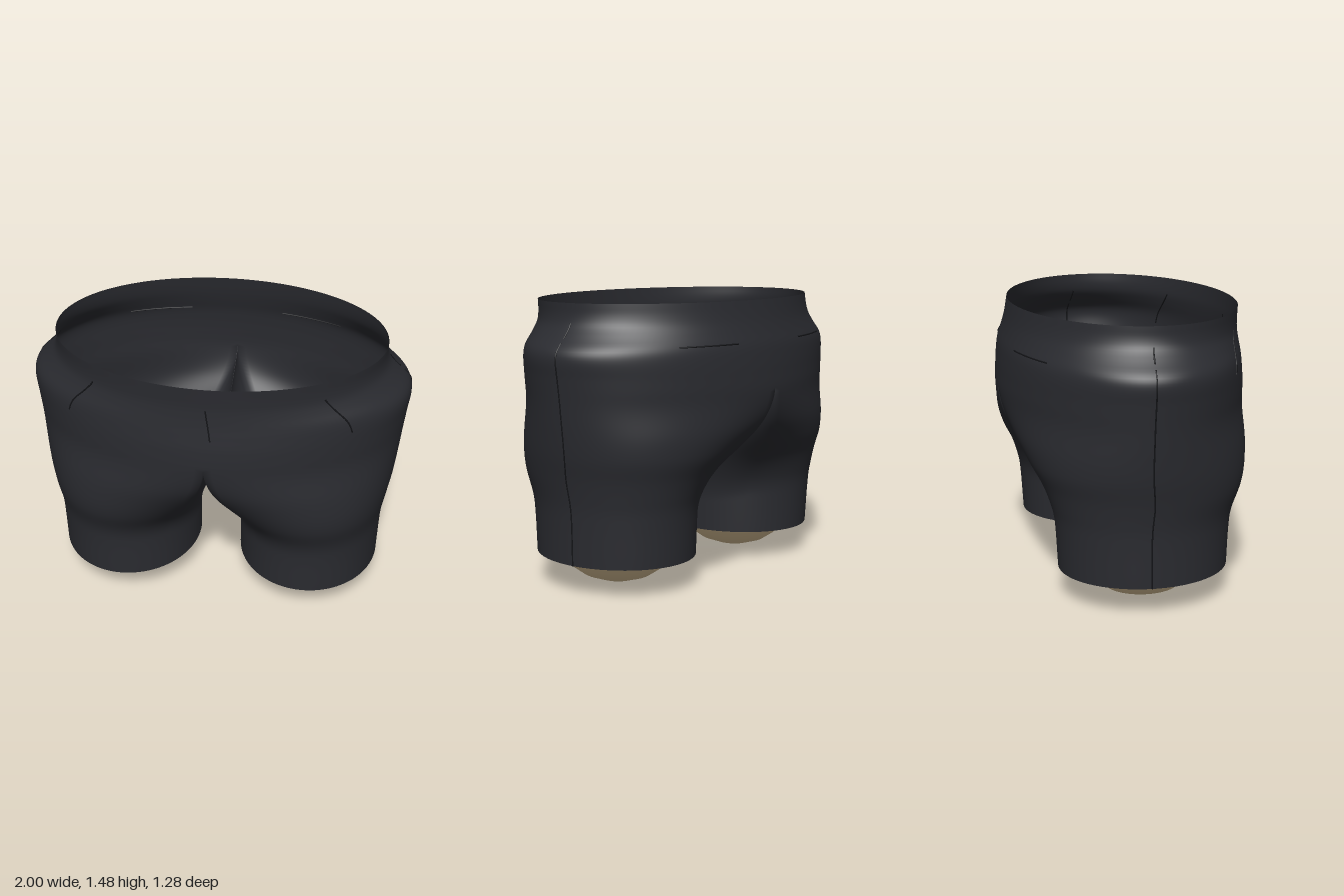
import * as THREE from 'three';
import { mergeGeometries, mergeVertices } from 'three/addons/utils/BufferGeometryUtils.js';

const RAD = Math.PI / 180;
const HEM = 0.16, WAIST = 1.48, FORK = 1.03, CROTCH = 0.82;
const INNER_X = 0.118; // inner side of the leg opening
const EDGE = 135; // leg angle at which the outer cloth meets the inner leg

// Height, half width, front z, back z
const PROFILE = [
  [0.16, 0.885, 0.465, -0.425],
  [0.40, 0.893, 0.475, -0.44],
  [0.48, 0.90, 0.492, -0.452],
  [0.60, 0.92, 0.545, -0.49],
  [0.72, 0.943, 0.585, -0.555],
  [0.85, 0.96, 0.622, -0.61],
  [1.00, 0.976, 0.64, -0.638],
  [1.12, 0.99, 0.638, -0.636],
  [1.21, 1.0, 0.628, -0.628],
  [1.26, 0.985, 0.622, -0.62],
  [1.32, 0.925, 0.617, -0.603],
  [1.37, 0.882, 0.615, -0.59],
  [1.42, 0.866, 0.617, -0.58],
  [1.48, 0.864, 0.62, -0.57],
];

// Smooth interpolation of one profile column at height y
function profileAt(y, c) {
  const n = PROFILE.length;
  let i = 0;
  while (i < n - 2 && y > PROFILE[i + 1][0]) i++;
  const slope = (k) => {
    const p = PROFILE[Math.max(k - 1, 0)], q = PROFILE[Math.min(k + 1, n - 1)];
    return (q[c] - p[c]) / (q[0] - p[0]);
  };
  const a = PROFILE[i], b = PROFILE[i + 1], h = b[0] - a[0];
  const t = (y - a[0]) / h, t2 = t * t, t3 = t2 * t;
  return (2 * t3 - 3 * t2 + 1) * a[c] + (t3 - 2 * t2 + t) * h * slope(i)
    + (3 * t2 - 2 * t3) * b[c] + (t3 - t2) * h * slope(i + 1);
}

// Position across the crotch, -1 at the front to 1 at the back
const across = (deg) => (deg - 180) / (180 - EDGE);

// Height at which a leg column leaves the torso
const forkHeight = (deg) => deg > EDGE && deg < 360 - EDGE
  ? CROTCH + (FORK - CROTCH) * across(deg) ** 2 : FORK;

// Point on the left half: half ellipse at the torso blending into a leg ellipse
function surface(deg, y) {
  deg = (deg + 360) % 360;
  const w = profileAt(y, 1), zf = profileAt(y, 2), zb = profileAt(y, 3);
  const cz = (zf + zb) / 2, r = (zf - zb) / 2;
  let x, z;
  if (deg > EDGE && deg < 360 - EDGE) {
    x = 0;
    z = -r * across(deg);
  } else {
    const phi = (deg > 180 ? deg - 360 : deg) * (90 / EDGE) * RAD;
    x = w * Math.cos(phi);
    z = r * Math.sin(phi);
  }
  const top = forkHeight(deg);
  const k = THREE.MathUtils.smoothstep((top - y) / (top - HEM), 0, 0.75);
  const legX = (w + INNER_X) / 2 + (w - INNER_X) / 2 * Math.cos(deg * RAD);
  const legZ = r * Math.sin(deg * RAD);
  return new THREE.Vector3(
    THREE.MathUtils.lerp(x, legX, k), y,
    cz + THREE.MathUtils.lerp(z, legZ, k) * (1 + 0.2 * k * (1 - k)));
}

// Grid of cloth between two angles; topOf and bottomOf give heights per column
function cloth(from, to, cols, rows, topOf, bottomOf, side) {
  const pos = [], index = [];
  for (let i = 0; i <= rows; i++) {
    for (let j = 0; j <= cols; j++) {
      const deg = from + (to - from) * j / cols;
      const p = surface(deg, THREE.MathUtils.lerp(topOf(deg), bottomOf(deg), i / rows));
      pos.push(p.x * side, p.y, p.z);
      if (i === rows || j === cols) continue;
      const a = i * (cols + 1) + j, b = a + 1, c = b + cols + 1, d = c - 1;
      if (side > 0) index.push(a, b, c, a, c, d);
      else index.push(a, c, b, a, d, c);
    }
  }
  const g = new THREE.BufferGeometry();
  g.setAttribute('position', new THREE.Float32BufferAttribute(pos, 3));
  g.setIndex(index);
  return g;
}

export function createModel() {
  const group = new THREE.Group();
  const clothMat = new THREE.MeshStandardMaterial({ color: 0x2a2b30, side: THREE.DoubleSide });
  const seamMat = new THREE.MeshStandardMaterial({ color: 0x131417 });
  const skinMat = new THREE.MeshStandardMaterial({ color: 0xdcc398 });

  const add = (name, geometry, material) => {
    const mesh = new THREE.Mesh(geometry, material);
    mesh.name = name;
    group.add(mesh);
    return mesh;
  };

  // Shorts: torso and leg of each half, welded into one smooth shell
  const parts = [];
  for (const side of [1, -1]) {
    parts.push(cloth(-EDGE, EDGE, 72, 32, () => WAIST, () => FORK, side));
    parts.push(cloth(0, 360, 96, 44, forkHeight, () => HEM, side));
  }
  const shell = mergeVertices(mergeGeometries(parts), 1e-4);
  shell.computeVertexNormals();
  add('shorts', shell, clothMat);

  // Stitched line lying on the cloth between two (angle, height) points
  const seam = (name, a, b, side, steps = 10) => {
    const pts = [];
    for (let i = 0; i <= steps; i++) {
      const t = i / steps;
      const p = surface(THREE.MathUtils.lerp(a[0], b[0], t), THREE.MathUtils.lerp(a[1], b[1], t));
      pts.push(new THREE.Vector3(p.x * side, p.y, p.z));
    }
    add(name, new THREE.TubeGeometry(new THREE.CatmullRomCurve3(pts), steps * 3, 0.004, 6), seamMat);
  };
  for (const [side, label] of [[1, 'left'], [-1, 'right']]) {
    seam(label + 'SideSeam', [-7, HEM], [-7, 1.29], side, 24);
    seam(label + 'SideSeamTop', [-7, 1.31], [-7, 1.38], side, 4);
    seam(label + 'FrontPocket', [73, 1.385], [66, 1.19], side);
    seam(label + 'BackPocket', [-79, 1.27], [-112, 1.27], side);
  }
  seam('fly', [134, 1.36], [132, 1.19], 1);

  // Rounded leg ends inside the openings
  const profile = [
    [0, 0], [0.3, 0.01], [0.6, 0.042], [0.8, 0.085], [0.93, 0.123], [1, 0.15],
    [1, 0.168], [0.93, 0.195], [0.8, 0.233], [0.6, 0.275], [0.3, 0.307], [0, 0.317],
  ].map(([r, y]) => new THREE.Vector2(r, y));
  for (const [side, label] of [[1, 'left'], [-1, 'right']]) {
    const end = add(label + 'LegEnd', new THREE.LatheGeometry(profile, 48).scale(0.283, 1, 0.325), skinMat);
    end.position.set(0.502 * side, 0, 0.018);
  }
  return group;
}
